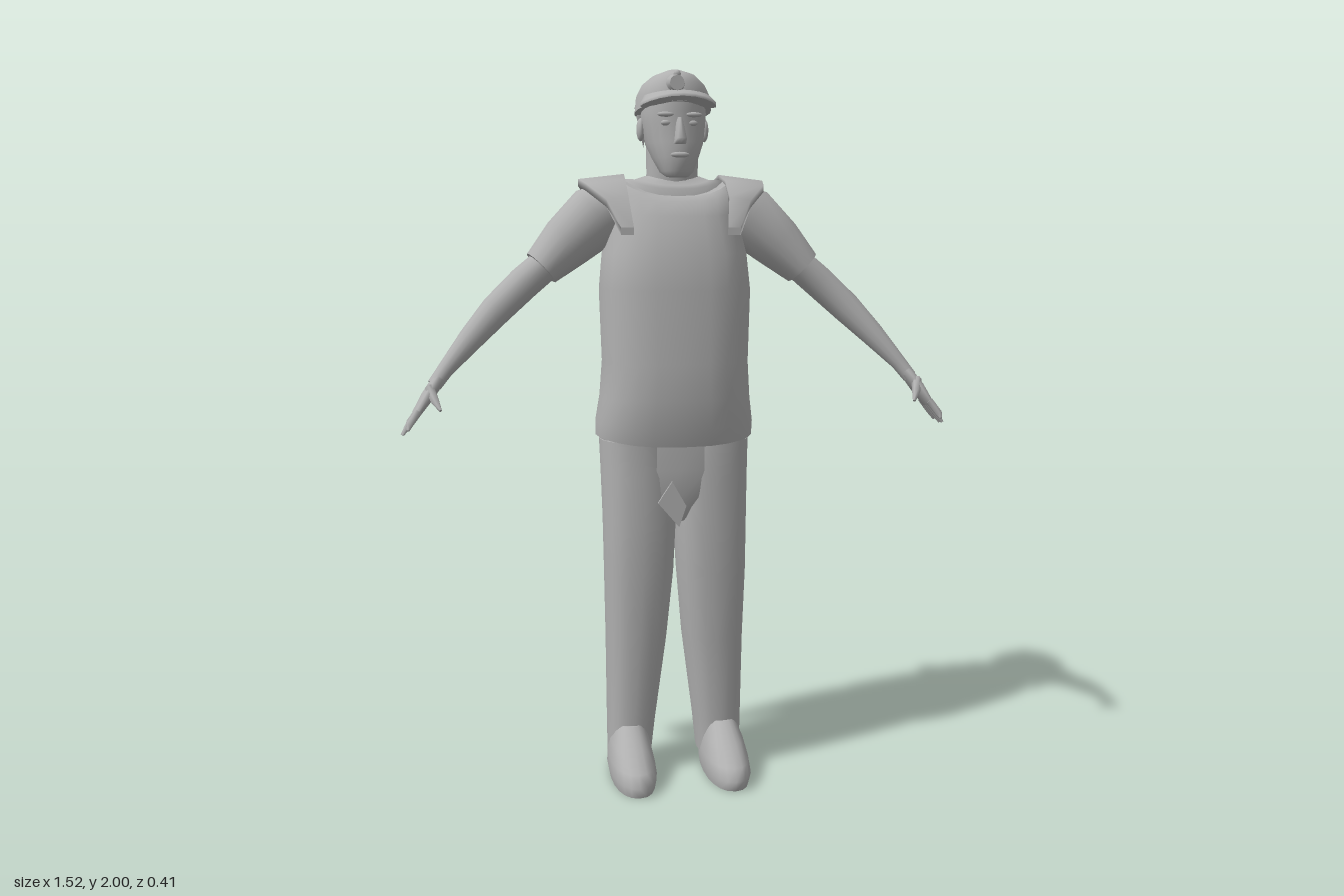
import * as THREE from 'three';

const V = (x, y, z) => new THREE.Vector3(x, y, z);

// Skin a stack of closed rings (counter-clockwise seen from the last ring), with flat end caps
function loft(rings) {
  const n = rings[0].length, pos = [], idx = [];
  rings.forEach(r => r.forEach(p => pos.push(p.x, p.y, p.z)));
  for (let i = 0; i < rings.length - 1; i++) {
    for (let j = 0; j < n; j++) {
      const a = i * n + j, b = i * n + (j + 1) % n;
      idx.push(a, b, b + n, a, b + n, a + n);
    }
  }
  [rings[0], rings[rings.length - 1]].forEach((r, end) => {
    const base = pos.length / 3, c = V(0, 0, 0);
    r.forEach(p => { pos.push(p.x, p.y, p.z); c.addScaledVector(p, 1 / n); });
    pos.push(c.x, c.y, c.z);
    for (let j = 0; j < n; j++) {
      const a = base + j, b = base + (j + 1) % n;
      if (end) idx.push(a, b, base + n); else idx.push(b, a, base + n);
    }
  });
  const g = new THREE.BufferGeometry();
  g.setAttribute('position', new THREE.Float32BufferAttribute(pos, 3));
  g.setIndex(idx);
  g.computeVertexNormals();
  return g;
}

// Upright body from rows [y, xMin, xMax, zBack, zFront, raise of the sides, raise of the front]
function upright(rows, n = 20, power = 2.4) {
  return loft(rows.map(([y, x0, x1, z0, z1, side = 0, front = 0]) =>
    Array.from({ length: n }, (_, j) => {
      const t = j / n * Math.PI * 2, c = Math.cos(t), s = -Math.sin(t);
      const sq = v => Math.sign(v) * Math.pow(Math.abs(v), 2 / power);
      return V((x0 + x1) / 2 + sq(c) * (x1 - x0) / 2, y + side * c * c + front * s,
        (z0 + z1) / 2 + sq(s) * (z1 - z0) / 2);
    })));
}
const centred = rows => rows.map(([y, h, ...rest]) => [y, -h, h, ...rest]);

// Limb along a path from rows [x, y, z, radius in z, radius across]
function limb(rows, n = 12) {
  const c = rows.map(r => V(r[0], r[1], r[2]));
  return loft(rows.map((r, i) => {
    const d = c[Math.min(i + 1, c.length - 1)].clone().sub(c[Math.max(i - 1, 0)]).normalize();
    const u = V(0, 0, 1).addScaledVector(d, -d.z).normalize(), w = d.clone().cross(u);
    return Array.from({ length: n }, (_, j) => {
      const t = j / n * Math.PI * 2;
      return c[i].clone().addScaledVector(u, r[3] * Math.cos(t)).addScaledVector(w, r[4] * Math.sin(t));
    });
  }));
}

// Mirror a geometry across x and keep its faces outward
function mirrored(g) {
  const m = (g.index ? g.toNonIndexed() : g.clone()).scale(-1, 1, 1);
  for (const a of Object.values(m.attributes)) {
    for (let i = 0; i < a.count; i += 3) {
      for (let k = 0; k < a.itemSize; k++) {
        const v = a.getComponent(i + 1, k);
        a.setComponent(i + 1, k, a.getComponent(i + 2, k));
        a.setComponent(i + 2, k, v);
      }
    }
  }
  return m;
}

export function createModel() {
  const root = new THREE.Group();
  root.name = 'worker';
  const grey = new THREE.MeshStandardMaterial({ color: 0xb0b0b0 });
  grey.name = 'plain grey';
  const add = (name, g) => {
    const m = new THREE.Mesh(g, grey);
    m.name = name;
    root.add(m);
    return m;
  };
  const pair = (name, g) => { add('left ' + name, g); add('right ' + name, mirrored(g)); };

  // Vest with scooped neckline and loose hem
  add('vest', upright(centred([
    [0.97, 0.223, -0.205, 0.112, 0.02], [1.02, 0.223, -0.205, 0.125, 0.01],
    [1.1, 0.212, -0.195, 0.138], [1.2, 0.205, -0.185, 0.14], [1.4, 0.212, -0.185, 0.132],
    [1.5, 0.202, -0.192, 0.125], [1.6, 0.178, -0.195, 0.09, 0.01],
    [1.64, 0.185, -0.185, 0.065, 0.035], [1.665, 0.16, -0.15, 0.04, 0.04, -0.012],
  ]), 24, 2.6));
  // Shoulder straps as slabs running front to back: [inner x, inner y, outer x, outer y, z]
  pair('shoulder strap', loft([
    [0.13, 1.57, 0.165, 1.57, 0.088], [0.14, 1.655, 0.2, 1.645, 0.055],
    [0.14, 1.70, 0.25, 1.69, 0], [0.135, 1.72, 0.263, 1.705, -0.07],
    [0.13, 1.70, 0.24, 1.685, -0.14], [0.13, 1.62, 0.18, 1.6, -0.186],
  ].map(([xi, yi, xo, yo, z]) =>
    [V(xi, yi, z), V(xo, yo, z), V(xo, yo - 0.02, z), V(xi, yi - 0.02, z)])));
  add('shirt collar', upright(centred([
    [1.63, 0.14, -0.14, 0.035, 0.02], [1.675, 0.14, -0.14, 0.03, 0.03],
    [1.685, 0.105, -0.135, 0.015, 0.02], [1.7, 0.075, -0.13, 0.005, 0.015],
  ])));

  // Trousers
  add('hips', upright(centred([
    [0.75, 0.03, -0.07, 0.05], [0.82, 0.13, -0.13, 0.078],
    [0.9, 0.2, -0.162, 0.084], [1.0, 0.214, -0.175, 0.085],
  ])));
  pair('trouser leg', upright([
    [0.045, 0.07, 0.195, -0.125, 0.04], [0.15, 0.058, 0.197, -0.12, 0.04],
    [0.4, 0.025, 0.2, -0.128, 0.06], [0.6, 0.006, 0.205, -0.118, 0.075],
    [0.75, -0.002, 0.207, -0.132, 0.08], [0.88, -0.008, 0.21, -0.155, 0.083],
    [0.98, -0.008, 0.213, -0.172, 0.085],
  ]));
  // Small open fold at the fly
  const fold = new THREE.Shape([[-0.065, 0.81], [-0.005, 0.74], [0.015, 0.8], [-0.025, 0.87]]
    .map(p => new THREE.Vector2(...p)));
  add('fly fold', new THREE.ExtrudeGeometry(fold, { depth: 0.008, bevelEnabled: false })).position.z = 0.078;

  // Shoes
  pair('shoe', upright([
    [0, 0.075, 0.197, -0.128, 0.2], [0.03, 0.07, 0.203, -0.133, 0.21],
    [0.06, 0.073, 0.2, -0.13, 0.185], [0.1, 0.08, 0.193, -0.12, 0.12],
    [0.15, 0.092, 0.175, -0.1, 0.046],
  ], 20, 2.3));

  // Arms: sleeve, bare arm, hand, fingers and thumb
  pair('sleeve', limb([
    [0.15, 1.64, -0.05, 0.075, 0.07], [0.22, 1.6, -0.045, 0.08, 0.088],
    [0.3, 1.53, -0.037, 0.073, 0.075], [0.372, 1.46, -0.03, 0.066, 0.055],
  ], 16));
  pair('arm', limb([
    [0.34, 1.487, -0.03, 0.055, 0.045], [0.42, 1.42, -0.027, 0.05, 0.046],
    [0.5, 1.345, -0.01, 0.043, 0.043], [0.57, 1.27, 0.02, 0.035, 0.034],
    [0.64, 1.19, 0.05, 0.024, 0.022], [0.67, 1.15, 0.062, 0.026, 0.02],
  ]));
  pair('hand', limb([
    [0.655, 1.17, 0.058, 0.022, 0.018], [0.69, 1.12, 0.074, 0.042, 0.017],
    [0.72, 1.075, 0.08, 0.043, 0.012],
  ]));
  for (let i = 0; i < 4; i++) {
    const z = 0.049 + i * 0.021, tip = 0.047 + i * 0.028, reach = [0, 0.006, 0.003, -0.012][i];
    pair('finger ' + (i + 1), limb([
      [0.712, 1.085, z, 0.011, 0.011], [0.738, 1.05, (z + tip) / 2, 0.01, 0.01],
      [0.753 + reach, 1.025 - reach, tip, 0.004, 0.004],
    ], 6));
  }
  pair('thumb', limb([
    [0.682, 1.145, 0.085, 0.015, 0.014], [0.67, 1.115, 0.118, 0.011, 0.012],
    [0.655, 1.09, 0.145, 0.004, 0.004],
  ], 6));

  // Neck and head
  add('neck', upright(centred([
    [1.62, 0.085, -0.14, 0.0], [1.72, 0.073, -0.125, 0.01], [1.82, 0.075, -0.13, 0.02],
  ]), 16, 2));
  add('head', upright(centred([
    [1.708, 0.03, 0, 0.05], [1.722, 0.046, -0.04, 0.064], [1.76, 0.064, -0.1, 0.069],
    [1.8, 0.079, -0.125, 0.07], [1.85, 0.087, -0.145, 0.064],
    [1.88, 0.089, -0.152, 0.07], [1.94, 0.085, -0.155, 0.065],
  ]), 20, 2.2));
  add('nose', upright(centred([
    [1.793, 0.018, 0.045, 0.078], [1.807, 0.017, 0.045, 0.11], [1.865, 0.008, 0.045, 0.069],
  ]), 8, 2));
  add('mouth', new THREE.SphereGeometry(1, 10, 6).scale(0.027, 0.008, 0.01)).position.set(0, 1.765, 0.068);
  pair('eye', new THREE.SphereGeometry(1, 10, 6).scale(0.015, 0.008, 0.008).translate(0.036, 1.85, 0.055));
  pair('brow', new THREE.SphereGeometry(1, 10, 6).scale(0.025, 0.007, 0.01).translate(0.038, 1.872, 0.061));
  pair('ear', new THREE.SphereGeometry(1, 10, 8).scale(0.012, 0.032, 0.02).translate(0.09, 1.84, -0.05));
  // Pointed locks of hair under the helmet
  for (const [x, z] of [[0.075, -0.1], [0.04, -0.138]]) {
    pair('hair lock', new THREE.ConeGeometry(0.026, 0.11, 6).rotateX(Math.PI).translate(x, 1.85, z));
  }

  // Helmet with peak, crest and lamp
  add('helmet', upright(centred([
    [1.892, 0.106, -0.178, 0.078, -0.005, 0.015], [1.93, 0.101, -0.18, 0.078],
    [1.96, 0.086, -0.172, 0.072], [1.983, 0.058, -0.15, 0.058], [1.998, 0.02, -0.1, 0],
  ]), 20, 2.1));
  add('helmet peak', upright(centred([
    [1.91, 0.104, -0.04, 0.122, -0.015, 0.005], [1.918, 0.104, -0.04, 0.122, -0.015, 0.005],
    [1.935, 0.09, -0.04, 0.085, -0.01],
  ]), 20, 2));
  add('helmet crest', loft([[-0.03, 1.998, 0.014], [-0.1, 1.996, 0.024], [-0.176, 1.978, 0.012]]
    .map(([z, y, w]) => [V(0, y, z), V(w, y - 0.03, z), V(-w, y - 0.03, z)])));
  add('lamp', new THREE.CylinderGeometry(0.02, 0.026, 0.03, 12).rotateX(Math.PI / 2))
    .position.set(-0.012, 1.952, 0.077);
  add('lamp knob', new THREE.SphereGeometry(0.01, 8, 6)).position.set(-0.008, 1.978, 0.068);

  return root;
}
